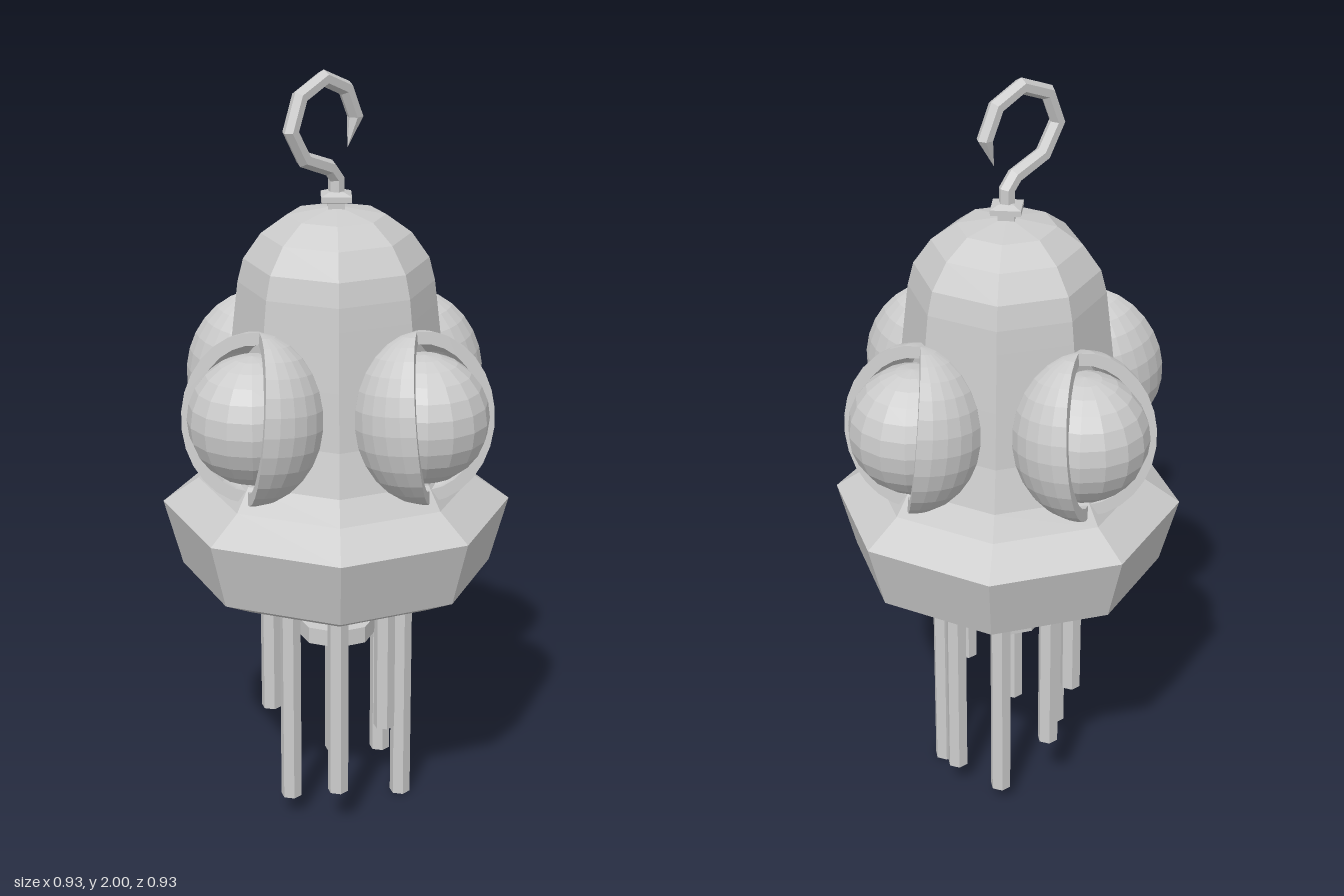
import * as THREE from 'three';

const material = new THREE.MeshStandardMaterial({ color: 0xcccccc, flatShading: true, side: THREE.DoubleSide });

function part(name, geometry, parent, x = 0, y = 0, z = 0) {
  const mesh = new THREE.Mesh(geometry, material);
  mesh.name = name;
  mesh.position.set(x, y, z);
  parent.add(mesh);
  return mesh;
}

const points = (list) => list.map(([x, y]) => new THREE.Vector2(x, y));
const lathe = (list, sides) => new THREE.LatheGeometry(points(list), sides);

// Curve made of straight pieces, one tube ring per corner
class Polyline extends THREE.Curve {
  constructor(corners) {
    super();
    this.corners = corners;
  }
  getUtoTmapping(u) {
    return u;
  }
  getPoint(t, target = new THREE.Vector3()) {
    const n = this.corners.length - 1;
    const i = Math.min(Math.floor(t * n + 1e-9), n - 1);
    return target.lerpVectors(this.corners[i], this.corners[i + 1], t * n - i);
  }
}

// Half-ellipse arc from the bottom pole to the top pole
function halfEllipse(rx, ry, steps = 14) {
  return Array.from({ length: steps + 1 }, (_, i) => {
    const a = -Math.PI / 2 + (Math.PI * i) / steps;
    return [Math.max(0, rx * Math.cos(a)), ry * Math.sin(a)];
  });
}

// Ball with a thick shell that is open in a wedge facing +z
function createEye() {
  const eye = new THREE.Group();
  const tilted = new THREE.Group();
  tilted.name = 'eyelids';
  tilted.rotation.x = -0.12;
  eye.add(tilted);

  const opening = 0.94;
  const outer = halfEllipse(0.182, 0.22);
  const inner = halfEllipse(0.15, 0.188).reverse();
  const section = points([...outer, ...inner]);
  part('eyelidShell', new THREE.LatheGeometry(section, 20, opening, Math.PI * 2 - 2 * opening), tilted);
  for (const phi of [opening, -opening]) {
    const rim = new THREE.ShapeGeometry(new THREE.Shape(section));
    rim.rotateY(phi - Math.PI / 2);
    part('eyelidRim', rim, tilted);
  }
  part('eyeball', new THREE.SphereGeometry(0.165, 16, 12), eye);
  return eye;
}

export function createModel() {
  const model = new THREE.Group();
  model.name = 'windChime';

  // Hollow eight-sided bell with a flared brim
  part('bellBody', lathe([
    [0, 0.84], [0.34, 0.84], [0.34, 0.7], [0.29, 0.645], [0.317, 0.645], [0.405, 0.69],
    [0.453, 0.865], [0.36, 0.93], [0.32, 0.99], [0.29, 1.1], [0.274, 1.25], [0.257, 1.4],
    [0.25, 1.46], [0.235, 1.52], [0.19, 1.585], [0.125, 1.632], [0, 1.655],
  ], 8), model);

  // Four eyes around the bell
  for (let i = 0; i < 4; i++) {
    const a = (i * Math.PI) / 2;
    const eye = createEye();
    eye.name = ['frontEye', 'leftEye', 'backEye', 'rightEye'][i];
    eye.position.set(0.3 * Math.sin(a), 1.165, 0.3 * Math.cos(a));
    eye.rotation.y = a;
    model.add(eye);
  }

  // Collar under the hook
  part('hookCollar', lathe([[0.03, 1.63], [0.03, 1.665], [0.054, 1.67], [0.054, 1.684], [0.028, 1.692], [0, 1.694]], 4), model);

  // Hook, listed as [z, y], tapering to a tip
  const path = [
    [0, 1.67], [0, 1.725], [0.025, 1.755], [0.115, 1.79], [0.16, 1.865],
    [0.128, 1.945], [0.045, 1.98], [-0.033, 1.945], [-0.068, 1.87], [-0.04, 1.795],
  ].map(([z, y]) => new THREE.Vector3(0, y, z));
  const sides = 6;
  const hook = new THREE.TubeGeometry(new Polyline(path), path.length - 1, 0.021, sides);
  const tip = path[path.length - 1];
  const position = hook.attributes.position;
  for (let i = position.count - sides - 1; i < position.count; i++) position.setXYZ(i, tip.x, tip.y, tip.z);
  part('hook', hook, model);

  // Eight hanging tubes; bottoms run anticlockwise from the front
  const bottoms = [0.06, 0.1, 0.265, 0, 0.07, 0.04, 0.17, 0.265];
  const tubeTop = 0.84;
  bottoms.forEach((bottom, i) => {
    const a = (i * Math.PI) / 4;
    const length = tubeTop - bottom;
    part('chimeTube', new THREE.CylinderGeometry(0.028, 0.028, length, 6), model,
      0.175 * Math.sin(a), bottom + length / 2, 0.175 * Math.cos(a));
  });

  // Central striker on its cord
  part('striker', new THREE.CylinderGeometry(0.105, 0.105, 0.045, 8), model, 0, 0.507, 0);
  part('strikerCord', new THREE.CylinderGeometry(0.008, 0.008, 0.32, 5), model, 0, 0.68, 0);

  return model;
}
